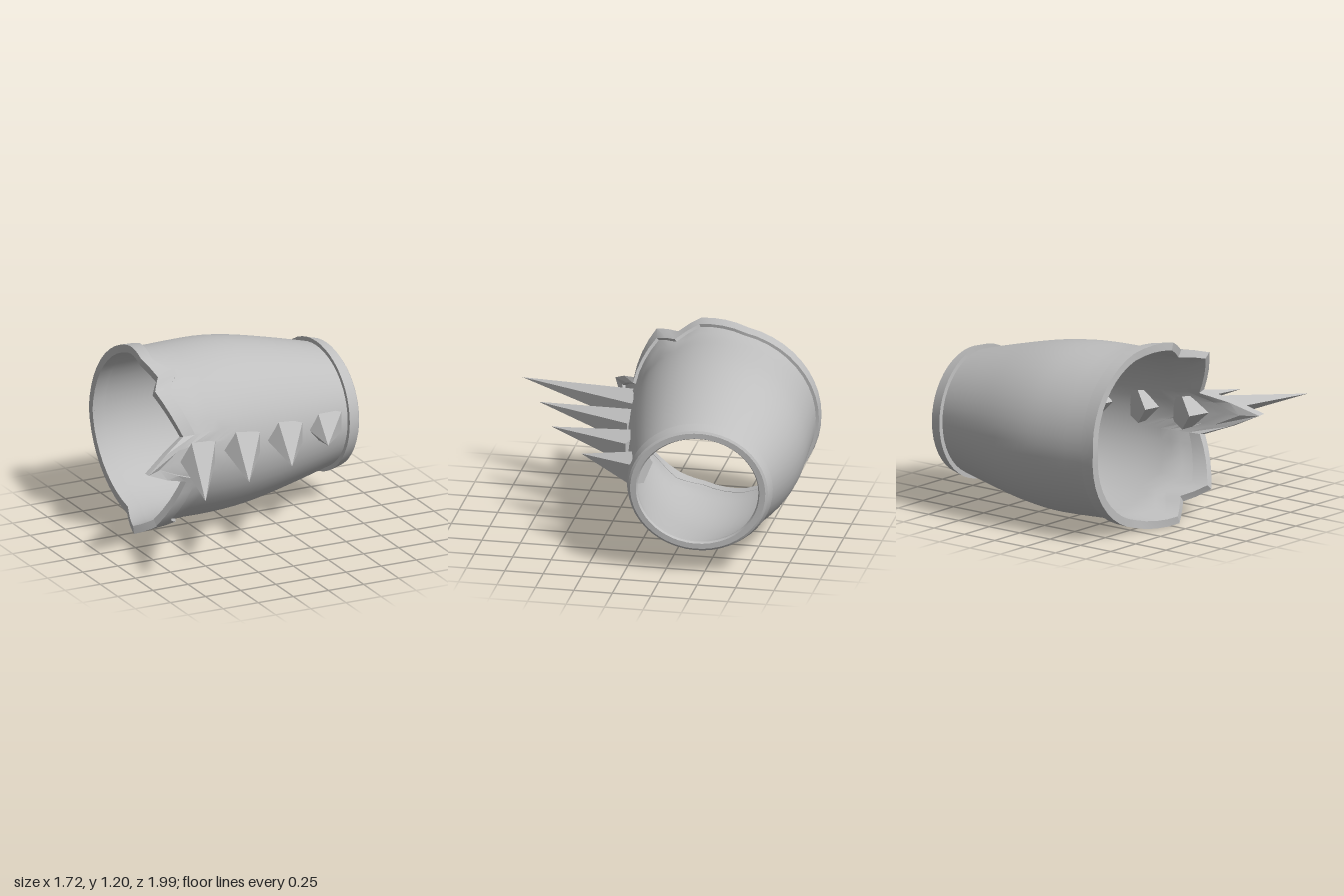
import * as THREE from 'three';
import { toCreasedNormals } from 'three/addons/utils/BufferGeometryUtils.js';

const gray = new THREE.MeshStandardMaterial({ color: 0xbfbfbf });
gray.name = 'plain gray';

// Barrel outline along x: top y, bottom y, front z, back z
const stations = [-0.45, -0.2, 0, 0.2, 0.5, 0.78, 0.87];
const outline = [
  1.15, 0.04, 0.2, -0.97,
  1.15, 0.03, 0.185, -0.99,
  1.14, 0.03, 0.155, -1.0,
  1.11, 0.05, 0.115, -0.99,
  1.04, 0.11, 0.045, -0.945,
  0.965, 0.175, -0.03, -0.89,
  0.94, 0.195, -0.055, -0.872,
];
const spline = new THREE.CubicInterpolant(stations, outline, 4);

// Point on the barrel at x and angle (0 = front, rising to the top), scaled by s
function barrelPoint(x, angle, s) {
  const [top, bottom, front, back] = spline.evaluate(THREE.MathUtils.clamp(x, -0.45, 0.869));
  return [
    x,
    (top + bottom) / 2 + Math.sin(angle) * s * (top - bottom) / 2,
    (front + back) / 2 + Math.cos(angle) * s * (front - back) / 2,
  ];
}

// Jagged rim corners, going round from the front: inner x, outer x, y, z
const rimCorners = [
  [-0.75, -0.86, 0.635, 0.41],
  [-0.43, -0.52, 0.78, 0.22],
  [-0.55, -0.66, 1.07, 0.1],
  [-0.43, -0.56, 1.1, -0.06],
  [-0.53, -0.61, 1.185, -0.2],
  [-0.46, -0.55, 1.165, -0.52],
  [-0.5, -0.59, 0.6, -0.985],
  [-0.46, -0.55, 0.02, -0.52],
  [-0.56, -0.66, 0.005, -0.2],
  [-0.44, -0.56, 0.1, -0.04],
  [-0.55, -0.66, 0.165, 0.12],
  [-0.43, -0.51, 0.48, 0.24],
].map(([xIn, xOut, y, z]) => {
  const v = (y - 0.595) / 0.555, w = (z + 0.385) / 0.585;
  const sOut = Math.hypot(v, w);
  return { angle: Math.atan2(v, w), xIn, xOut, sOut, sIn: 1.035 + 0.65 * (sOut - 1.035) };
});

// Columns round the arm, with a column exactly on every rim corner
const columns = [];
rimCorners.forEach((a, i) => {
  const b = rimCorners[(i + 1) % rimCorners.length];
  let turn = b.angle - a.angle;
  if (turn < 0) turn += Math.PI * 2;
  const steps = Math.ceil(turn / 0.14);
  for (let k = 0; k < steps; k++) {
    const t = k / steps, mix = (key) => THREE.MathUtils.lerp(a[key], b[key], t);
    const angle = a.angle + turn * t;
    columns.push({
      angle, xIn: mix('xIn'), xOut: mix('xOut'), sIn: mix('sIn'), sOut: mix('sOut'),
      xCuff: 0.83 + 0.03 * Math.cos(angle) + 0.012 * Math.sin(angle),
    });
  }
});

// Closed loft: section(column) lists [x, s] round one wall section
function loft(name, section, crease) {
  const positions = [], index = [];
  let rows = 0;
  for (const col of columns) {
    const pts = section(col);
    rows = pts.length;
    for (const [x, s] of pts) positions.push(...barrelPoint(x, col.angle, s));
  }
  const n = columns.length;
  for (let c = 0; c < n; c++) {
    for (let r = 0; r < rows; r++) {
      const c2 = (c + 1) % n, r2 = (r + 1) % rows;
      const p = c * rows + r, q = c * rows + r2, u = c2 * rows + r2, v = c2 * rows + r;
      index.push(p, q, u, p, u, v);
    }
  }
  const geo = new THREE.BufferGeometry();
  geo.setAttribute('position', new THREE.Float32BufferAttribute(positions, 3));
  geo.setIndex(index);
  const mesh = new THREE.Mesh(toCreasedNormals(geo, crease), gray);
  mesh.name = name;
  return mesh;
}

// Double-walled shell flaring into the teeth
function shellSection(col) {
  const outer = [[col.xOut + 0.015, col.sOut - 0.04]];
  const rows = 18;
  for (let i = 0; i <= rows; i++) {
    const x = THREE.MathUtils.lerp(col.xIn, col.xCuff - 0.01, i / rows);
    const flare = THREE.MathUtils.clamp((-0.38 - x) / (-0.38 - col.xIn), 0, 1);
    outer.push([x, 1 + (col.sIn - 0.035 - 1) * flare]);
  }
  const inner = outer.map(([x, s]) => [x, s - 0.05]).reverse();
  return [...outer, ...inner];
}

// Five-sided spike whose base is sunk into the shell
function spike(base, tip) {
  const from = new THREE.Vector3(...base);
  const axis = new THREE.Vector3(...tip).sub(from);
  const length = axis.length();
  axis.normalize();
  const along = new THREE.Vector3(-axis.z, 0, axis.x).normalize();
  const across = new THREE.Vector3().crossVectors(axis, along);
  const matrix = new THREE.Matrix4()
    .makeBasis(across, axis, along)
    .scale(new THREE.Vector3(0.115, length, 0.145))
    .setPosition(from);
  const geo = new THREE.ConeGeometry(1, 1, 5).translate(0, 0.5, 0).applyMatrix4(matrix);
  const mesh = new THREE.Mesh(toCreasedNormals(geo, 0.1), gray);
  mesh.name = 'spike';
  return mesh;
}

export function createModel() {
  const model = new THREE.Group();
  model.name = 'spikedBracer';

  model.add(loft('shell', shellSection, 0.6));

  // Raised band along the jagged edge
  model.add(loft('jaggedRim', (c) => [
    [c.xOut, c.sOut], [c.xIn, c.sIn], [c.xIn, c.sIn - 0.09], [c.xOut, c.sOut - 0.09],
  ], 0.45));

  // Plain cuff at the narrow end
  model.add(loft('wristCuff', (c) => [
    [c.xCuff - 0.085, 1.07], [c.xCuff - 0.01, 1.07], [c.xCuff, 1.04],
    [c.xCuff, 0.95], [c.xCuff - 0.015, 0.92], [c.xCuff - 0.085, 0.92],
  ], 0.45));

  // Row of spikes down the front
  const spikes = new THREE.Group();
  spikes.name = 'spikes';
  spikes.add(
    spike([-0.38, 0.628, 0.135], [-0.745, 0.635, 0.99]),
    spike([-0.045, 0.623, 0.1], [-0.34, 0.635, 0.8]),
    spike([0.285, 0.614, 0.045], [0.045, 0.625, 0.64]),
    spike([0.61, 0.602, -0.05], [0.44, 0.61, 0.365]),
  );
  model.add(spikes);
  return model;
}
